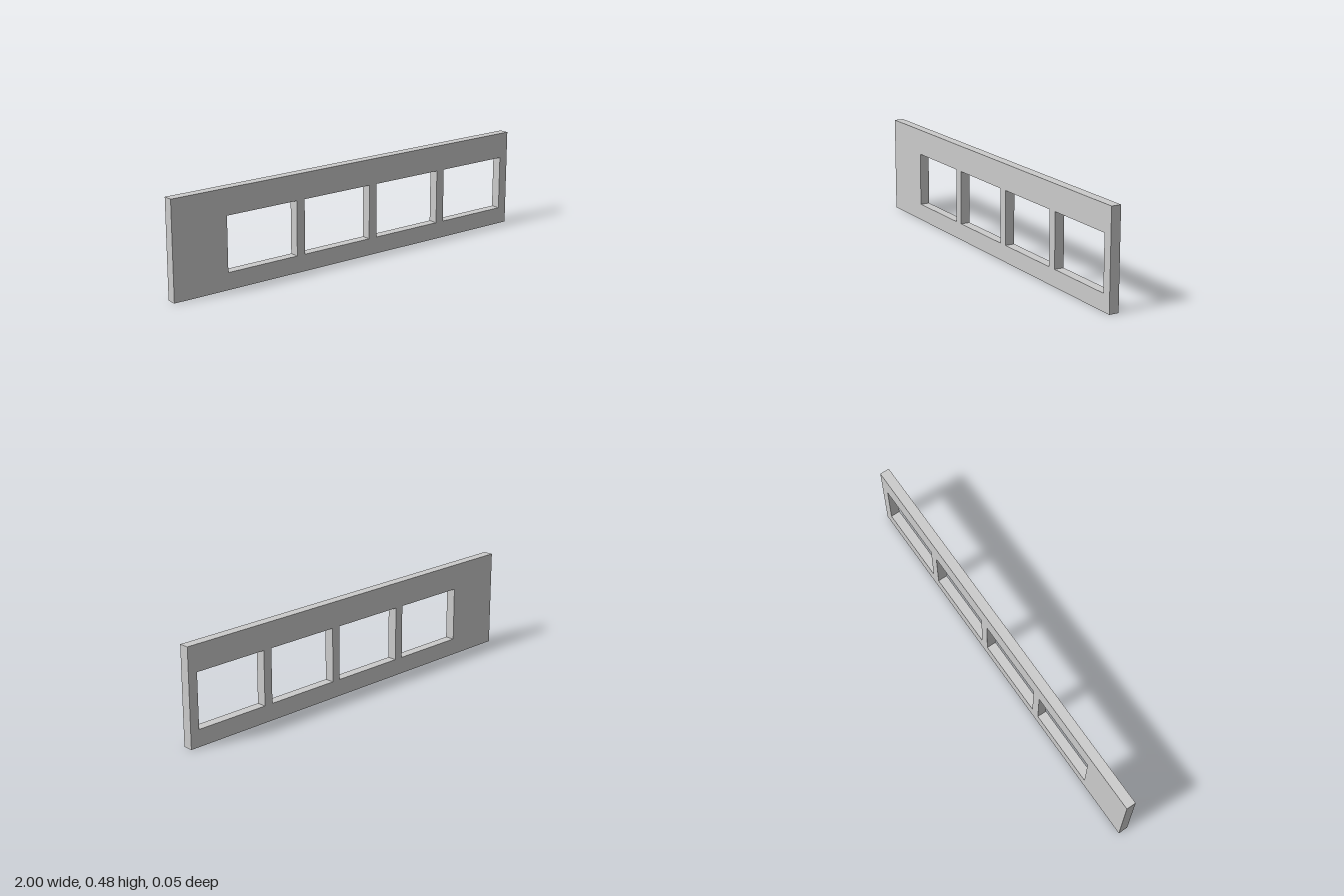
import * as THREE from 'three';

const HEIGHT = 0.477, DEPTH = 0.048;

// Closed rectangular outline from two opposite corners
function rectangle(target, x0, y0, x1, y1) {
  target.moveTo(x0, y0);
  target.lineTo(x1, y0);
  target.lineTo(x1, y1);
  target.lineTo(x0, y1);
  target.closePath();
  return target;
}

export function createModel() {
  const group = new THREE.Group();
  group.name = 'windowPanel';

  // Long flat panel, with a solid stretch at its right end
  const outline = rectangle(new THREE.Shape(), -1, 0, 1, HEIGHT);

  // Four equal window openings
  const first = -0.714, pitch = 0.428, width = 0.383;
  for (let i = 0; i < 4; i++) {
    const x = first + i * pitch;
    outline.holes.push(rectangle(new THREE.Path(), x, 0.083, x + width, 0.35));
  }

  const geometry = new THREE.ExtrudeGeometry(outline, { depth: DEPTH, bevelEnabled: false });
  geometry.translate(0, 0, -DEPTH / 2);

  const panel = new THREE.Mesh(geometry, new THREE.MeshStandardMaterial({ color: 0xcccccc }));
  panel.name = 'panel';
  group.add(panel);
  return group;
}
